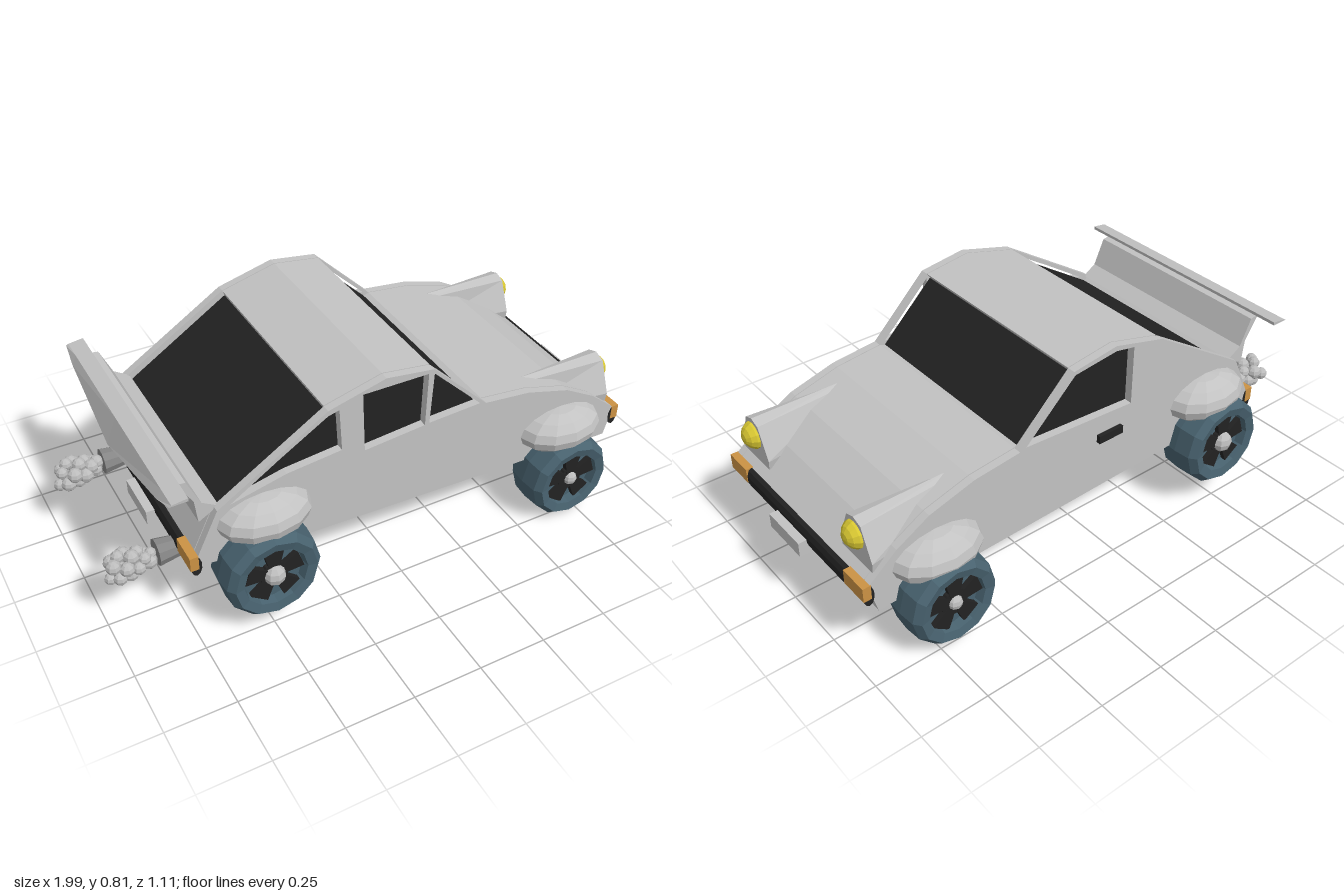
import * as THREE from 'three';

const mat = (name, color, extra = {}) => {
  const m = new THREE.MeshStandardMaterial({ color, flatShading: true, ...extra });
  m.name = name;
  return m;
};

export function createModel() {
  const car = new THREE.Group();
  car.name = 'car';
  const paint = mat('body grey', 0xc2c2c2);
  const dark = mat('glass black', 0x222222);
  const tyreMat = mat('tyre blue', 0x48626f);
  const yellow = mat('lamp yellow', 0xd9c832);
  const orange = mat('indicator orange', 0xcb9244);
  const steel = mat('exhaust grey', 0x858585);
  const smoke = mat('smoke grey', 0xbcbcbc);

  const add = (name, geo, m, x = 0, y = 0, z = 0, parent = car) => {
    const mesh = new THREE.Mesh(geo, m);
    mesh.name = name;
    mesh.position.set(x, y, z);
    parent.add(mesh);
    return mesh;
  };
  const path = (pts, Type = THREE.Shape) => new Type(pts.map(p => new THREE.Vector2(...p)));
  const slab = (pts, depth, holes = []) => {
    const s = path(pts);
    s.holes = holes.map(h => path(h, THREE.Path));
    return new THREE.ExtrudeGeometry(s, { depth, bevelEnabled: false });
  };
  const box = (x, y, z) => new THREE.BoxGeometry(x, y, z);

  // Body: two side panels with window openings around a core with sunken screens
  const lower = [[-0.74, 0.3], [-0.5, 0.27], [0.92, 0.22], [0.95, 0.335]];
  const hood = [[0.84, 0.425], [0.715, 0.495], [0.54, 0.545], [0.36, 0.565]];
  const roof = [[0.14, 0.78], [-0.04, 0.805], [-0.25, 0.75]];
  const tail = [[-0.645, 0.5]];
  const outline = [...lower, ...hood, ...roof, ...tail];
  const screenF = [[0.335, 0.555], [0.125, 0.757]], screenR = [[-0.24, 0.725], [-0.62, 0.482]];
  const core = [...lower, ...hood, ...screenF, ...roof, ...screenR, ...tail];
  const windowsLeft = [
    [[-0.6, 0.508], [-0.42, 0.625], [-0.25, 0.73], [-0.21, 0.74], [-0.2, 0.575], [-0.4, 0.555]],
    [[-0.125, 0.77], [0.12, 0.768], [0.115, 0.56], [-0.115, 0.54]],
    [[0.142, 0.762], [0.335, 0.573], [0.132, 0.563]],
  ];
  const windowsRight = [[[0.335, 0.573], [0.135, 0.765], [-0.04, 0.785], [-0.12, 0.77], [-0.12, 0.545]]];
  add('bodyCore', slab(core, 0.78), paint, 0, 0, -0.39);
  add('leftSidePanel', slab(outline, 0.03, windowsLeft), paint, 0, 0, 0.393);
  add('rightSidePanel', slab(outline, 0.03, windowsRight), paint, 0, 0, -0.423);
  const cabin = [[-0.62, 0.485], ...screenF, [-0.04, 0.79], screenR[0]];
  for (const s of [1, -1]) add('sideGlass', slab(cabin, 0.003), dark, 0, 0, s > 0 ? 0.39 : -0.393);
  for (const [name, [a, b]] of [['windscreen', screenF], ['rearScreen', screenR]]) {
    const dx = b[0] - a[0], dy = b[1] - a[1];
    const pane = add(name, box(Math.hypot(dx, dy), 0.008, 0.784), dark, (a[0] + b[0]) / 2, (a[1] + b[1]) / 2, 0);
    pane.rotation.z = Math.atan2(dy, dx);
  }
  add('doorHandle', box(0.105, 0.03, 0.016), dark, -0.022, 0.465, -0.431);

  // Bumpers, indicators and number plates
  for (const [name, x, s] of [['front', 0.95, 1], ['rear', -0.73, -1]]) {
    const bar = new THREE.CylinderGeometry(0.04, 0.04, 0.85, 10).rotateX(Math.PI / 2).scale(0.5, 1, 1);
    add(name + 'Bumper', bar, dark, x, 0.3, 0);
    for (const z of [0.37, -0.37])
      add(name + 'Indicator', box(0.03, 0.055, 0.112), orange, x + s * 0.006, 0.313, z);
    add(name + 'Plate', box(0.036, 0.055, 0.19), paint, x + s * 0.032, 0.272, 0.012);
  }

  // Headlight pods taper toward the windscreen
  const podShape = [[-0.085, 0.365], [0.085, 0.365], [0.09, 0.4], [0.04, 0.518], [0, 0.532], [-0.04, 0.518], [-0.09, 0.4]];
  for (const z of [0.32, -0.32]) {
    const pod = slab(podShape, 0.35);
    const p = pod.attributes.position;
    for (let i = 0; i < p.count; i++) {
      const t = p.getZ(i) / 0.35;
      p.setXYZ(i, p.getX(i) * (0.35 + 0.65 * t), p.getY(i), p.getZ(i));
    }
    pod.rotateY(Math.PI / 2);
    pod.computeVertexNormals();
    add('headlightPod', pod, paint, 0.57, 0, z);
    add('headlight', new THREE.SphereGeometry(0.053, 12, 8).rotateZ(Math.PI / 2), yellow, 0.908, 0.464, z);
  }

  // Wheels and mudguards: [x, y, radius, side]
  const w = 0.092;
  const spoke = [[-0.016, 0.02], [0.016, 0.02], [0.036, 0.1], [-0.036, 0.1]];
  for (const [x, y, r, side] of [[0.7, 0.165, 0.165, 1], [-0.5, 0.24, 0.174, 1], [0.7, 0.195, 0.165, -1], [-0.5, 0.26, 0.174, -1]]) {
    const wheel = new THREE.Group();
    wheel.name = x > 0 ? 'frontWheel' : 'rearWheel';
    wheel.position.set(x, y, side * 0.452);
    if (side < 0) wheel.rotation.y = Math.PI;
    car.add(wheel);
    const profile = [[0.62, -0.9], [0.85, -1], [0.97, -0.7], [1, 0], [0.97, 0.7], [0.85, 0.98], [0.66, 0.9], [0.62, 0.55], [0, 0.55]]
      .map(([a, b]) => new THREE.Vector2(a * r, b * w));
    add('tyre', new THREE.LatheGeometry(profile, 12).rotateX(Math.PI / 2), tyreMat, 0, 0, 0, wheel);
    add('innerDisc', new THREE.CircleGeometry(r * 0.64, 12).rotateY(Math.PI), paint, 0, 0, -w * 0.88, wheel);
    for (let i = 0; i < 5; i++)
      add('spoke', slab(spoke, 0.02), dark, 0, 0, w * 0.55, wheel).rotation.z = i * Math.PI * 0.4;
    add('hub', new THREE.CylinderGeometry(0.05, 0.05, 0.026, 10).rotateX(Math.PI / 2), dark, 0, 0, w * 0.6, wheel);
    add('hubCap', new THREE.SphereGeometry(x > 0 ? 0.028 : 0.04, 8, 6), smoke, 0, 0, w * 0.7, wheel);
    const guard = new THREE.SphereGeometry(1, 12, 8).scale(0.168, 0.085, 0.117);
    add('mudguard', guard, paint, x > 0 ? 0.695 : -0.485, x > 0 ? 0.348 : 0.428, side * 0.418);
  }

  // Spoiler: leaning support and a wing whose rear lip dips in the middle
  const support = slab([[-0.7, 0.46], [-0.63, 0.5], [-0.685, 0.535], [-0.73, 0.635], [-0.765, 0.64], [-0.71, 0.55]], 0.8);
  add('spoilerSupport', support, paint, 0, 0, -0.4);
  const verts = [], faces = [];
  for (const [z, lipX, lipY] of [[-0.485, -0.818, 0.638], [-0.4, -0.827, 0.61], [0, -0.848, 0.545], [0.4, -0.827, 0.61], [0.485, -0.818, 0.638]]) {
    const drop = 0.66 - 0.4 * (0.66 - lipY);
    verts.push(-0.755, 0.65, z, -0.81, 0.643, z, lipX, lipY, z, -0.755, Math.min(drop, 0.638), z);
  }
  for (let i = 0; i < 4; i++)
    for (let j = 0; j < 4; j++) {
      const a = i * 4 + j, b = i * 4 + (j + 1) % 4;
      faces.push(a, b, a + 4, b, b + 4, a + 4);
    }
  faces.push(0, 2, 1, 0, 3, 2, 16, 17, 18, 16, 18, 19);
  const wing = new THREE.BufferGeometry();
  wing.setAttribute('position', new THREE.Float32BufferAttribute(verts, 3));
  wing.setIndex(faces);
  wing.computeVertexNormals();
  add('spoilerWing', wing, mat('wing grey', 0xbebebe, { side: THREE.DoubleSide }));

  // Exhausts with clustered smoke puffs
  let seed = 7;
  const rnd = () => (seed = (seed * 16807) % 2147483647) / 2147483647;
  for (const z of [0.265, -0.265]) {
    const along = g => g.rotateZ(Math.PI / 2);
    add('exhaustPipe', along(new THREE.CylinderGeometry(0.008, 0.024, 0.12, 8)).rotateY(Math.PI).scale(-1, 1, 1).rotateY(0), steel, -0.06, 0.253, z).material = steel;
    car.children.pop();
    // CylinderGeometry's top points toward -x after turning
    add('pipeNose', along(new THREE.CylinderGeometry(0.026, 0.008, 0.12, 8)), steel, -0.05, 0.253, z);
    add('exhaustPipe', along(new THREE.CylinderGeometry(0.028, 0.026, 0.6, 8)), steel, -0.41, 0.258, z);
    add('exhaustTip', along(new THREE.CylinderGeometry(0.048, 0.03, 0.13, 10)), steel, -0.745, 0.263, z);
    for (let i = 0; i < 18; i++) {
      const t = i / 17, a = i * 2.4, spread = 0.012 + 0.026 * Math.min(1, t * 2);
      add('smokePuff', new THREE.SphereGeometry(0.021 + 0.008 * rnd(), 8, 6), smoke,
        -0.83 - 0.141 * t, 0.258 + Math.cos(a) * spread, z + Math.sin(a) * spread);
    }
  }
  return car;
}
